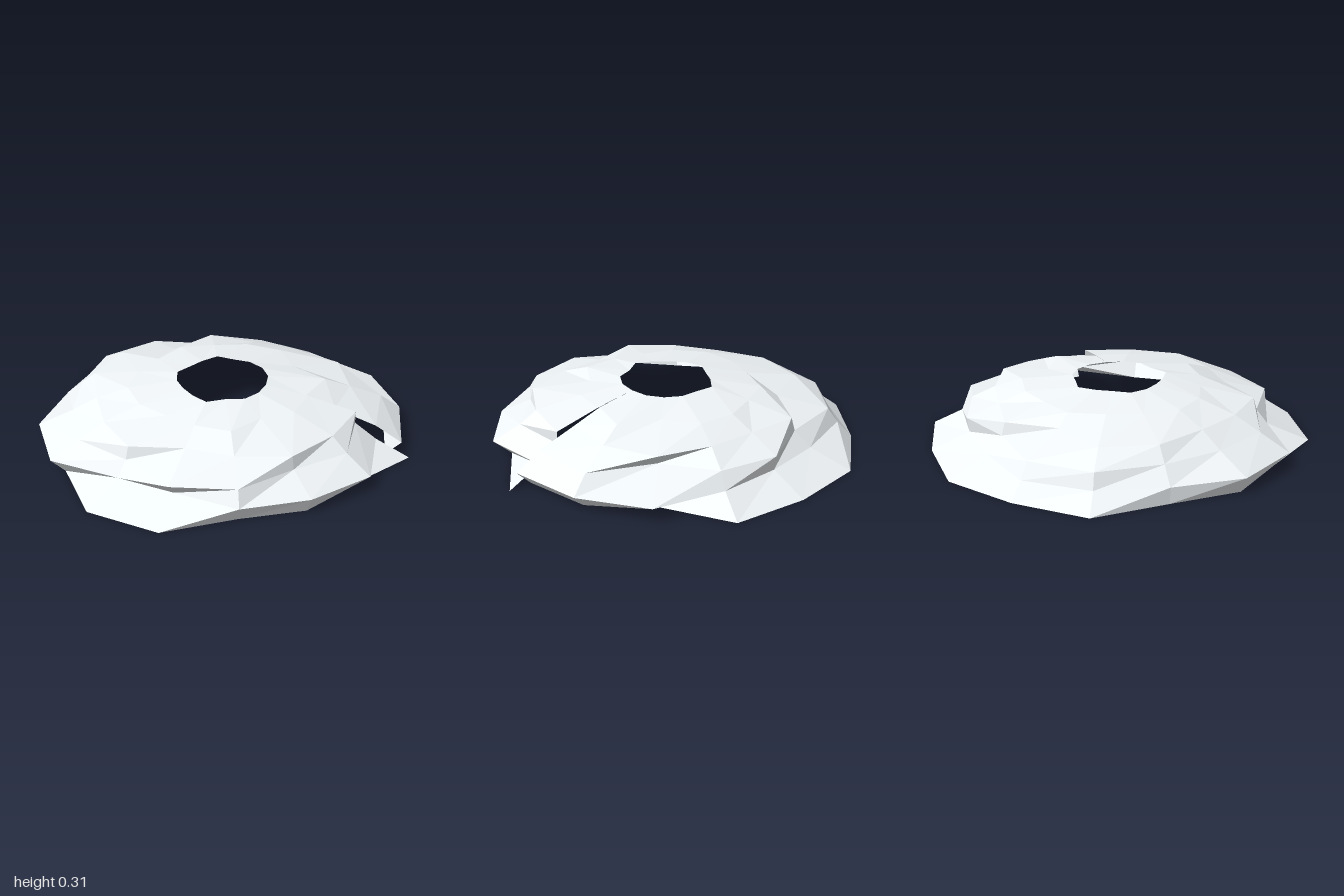
import * as THREE from 'three';

// Ragged low-poly dome shell: six rings of 16 segments, open at the crown and
// split along a seam on the +x side. Each row lists radii from +x round via +z.
const SIDES = 16;
const STEP = Math.PI / 12;
const HEIGHT = 0.322;
const CENTRE_X = -0.04;
const RINGS = [
  [1.025, 0.86, 0.88, 0.85, 1.0, 1.02, 0.905, 0.95, 0.91, 1.03, 1.0, 1.04, 1.0, 1.02, 0.82, 0.9, 0.9],
  [0.845, 0.955, 0.915, 0.89, 0.78, 0.8, 0.98, 0.985, 0.91, 0.92, 0.92, 0.82, 0.8, 0.86, 0.985, 0.985, 0.98],
  [0.73, 0.81, 0.75, 0.84, 0.85, 0.74, 0.82, 0.8, 0.82, 0.885, 0.865, 0.73, 0.81, 0.8, 0.685, 0.875, 0.84],
  [0.73, 0.72, 0.735, 0.65, 0.6, 0.72, 0.68, 0.67, 0.74, 0.75, 0.59, 0.71, 0.64, 0.67, 0.745, 0.7, 0.62],
  [0.475, 0.48, 0.42, 0.5, 0.46, 0.44, 0.48, 0.5, 0.48, 0.46, 0.5, 0.47, 0.5, 0.52, 0.44, 0.56, 0.46],
  [0.245, 0.25, 0.255, 0.23, 0.27, 0.24, 0.23, 0.24, 0.25, 0.22, 0.23, 0.26, 0.23, 0.245, 0.25, 0.25, 0.245],
];

function createShell() {
  const positions = [];
  RINGS.forEach((radii, ring) => {
    const y = HEIGHT * Math.sin(ring * STEP);
    radii.forEach((r, i) => {
      const a = (i / SIDES) * Math.PI * 2;
      positions.push(CENTRE_X + r * Math.cos(a), y, r * Math.sin(a));
    });
  });

  // Two triangles per panel, leaving the seam unjoined
  const indices = [];
  for (let ring = 0; ring < RINGS.length - 1; ring++) {
    for (let i = 0; i < SIDES; i++) {
      const low = ring * (SIDES + 1) + i;
      const high = low + SIDES + 1;
      indices.push(low, high, low + 1, high, high + 1, low + 1);
    }
  }

  const geometry = new THREE.BufferGeometry();
  geometry.setAttribute('position', new THREE.Float32BufferAttribute(positions, 3));
  geometry.setIndex(indices);
  const faceted = geometry.toNonIndexed();
  faceted.computeVertexNormals();
  return faceted;
}

export function createModel() {
  const group = new THREE.Group();
  group.name = 'raggedDome';
  const material = new THREE.MeshStandardMaterial({
    color: 0xf0f5f8,
    flatShading: true,
    side: THREE.DoubleSide,
  });
  const shell = new THREE.Mesh(createShell(), material);
  shell.name = 'domeShell';
  group.add(shell);
  return group;
}
